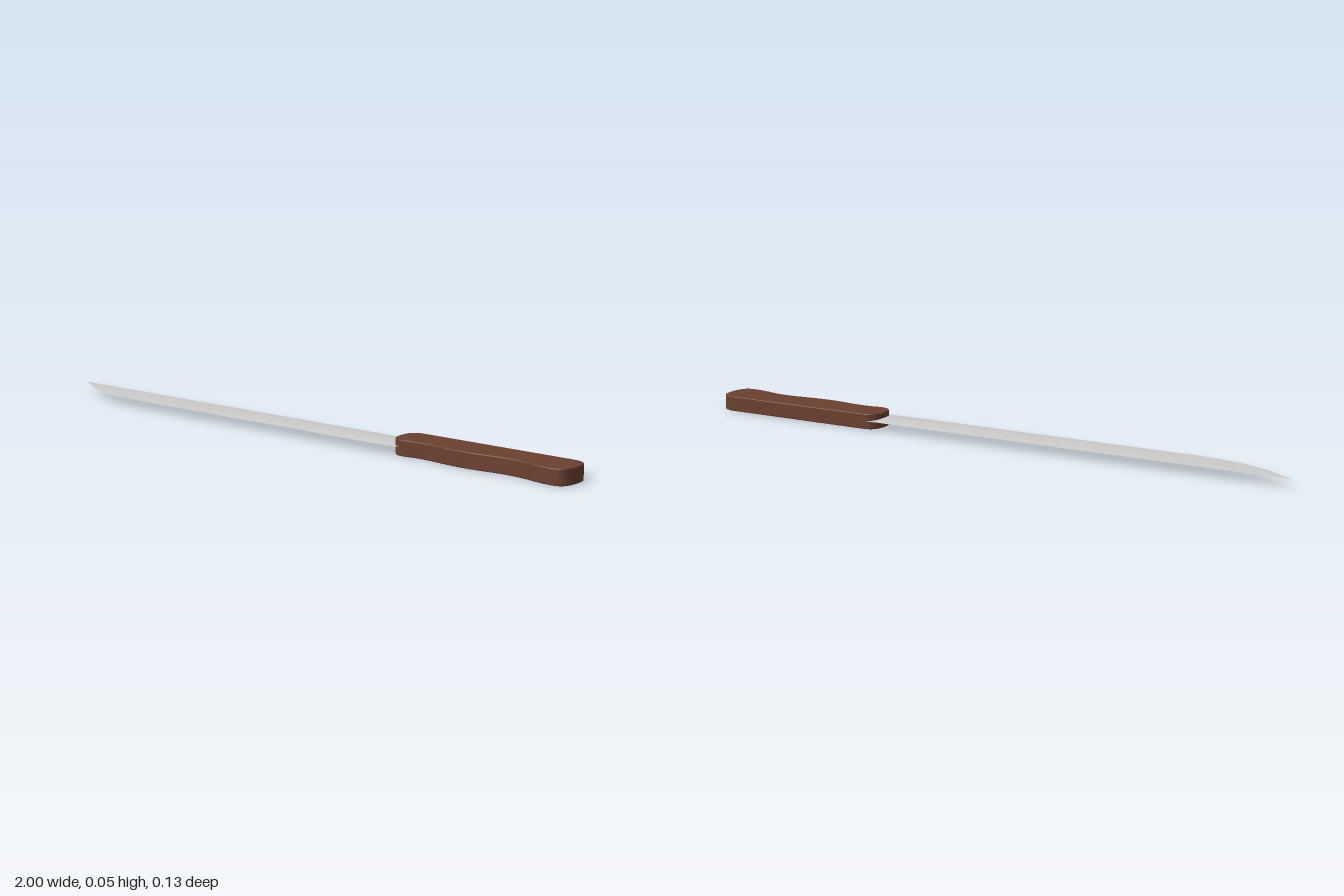
import * as THREE from 'three';

const BLADE_Y = 0.027;
const SPINE_Z = -0.065;

// Cutting edge from tip to heel, as (x, z)
const edge = new THREE.CatmullRomCurve3([
  [-1, -0.062], [-0.95, -0.028], [-0.9, 0.001], [-0.85, 0.022], [-0.78, 0.04],
  [-0.69, 0.051], [-0.6, 0.053], [-0.3, 0.053], [0, 0.053], [0.36, 0.053], [0.42, 0.046], [0.46, 0.03],
].map(([x, z]) => new THREE.Vector3(x, 0, z)), false, 'centripetal');

// One smooth blade face (side = 1 upper, -1 lower): lens sections that thin towards the tip
function bladeFace(side) {
  const along = 60, across = 12, positions = [], indices = [];
  for (let i = 0; i <= along; i++) {
    const p = edge.getPoint(i / along);
    const half = THREE.MathUtils.lerp(0.001, 0.005, (p.x + 1) / 1.46);
    for (let j = 0; j <= across; j++) {
      const t = j / across;
      const bulge = half * 4 * t * (1 - t);
      positions.push(p.x, BLADE_Y + side * bulge, THREE.MathUtils.lerp(SPINE_Z, p.z, t));
      if (i < along && j < across) {
        const a = i * (across + 1) + j, b = a + across + 1;
        if (side > 0) indices.push(a, a + 1, b, a + 1, b + 1, b);
        else indices.push(a, b, a + 1, a + 1, b, b + 1);
      }
    }
  }
  const geometry = new THREE.BufferGeometry();
  geometry.setAttribute('position', new THREE.Float32BufferAttribute(positions, 3));
  geometry.setIndex(indices);
  geometry.computeVertexNormals();
  return geometry;
}

// Handle outline drawn with shape y = -z: straight back, wavy finger grip below
function handleGeometry() {
  const bevel = 0.003;
  const s = new THREE.Shape();
  s.moveTo(0.44, 0.062);
  s.lineTo(0.945, 0.062);
  s.bezierCurveTo(0.985, 0.062, 0.997, 0.045, 0.997, 0.01);
  s.bezierCurveTo(0.997, -0.035, 0.99, -0.06, 0.95, -0.06);
  s.bezierCurveTo(0.89, -0.06, 0.87, -0.039, 0.8, -0.039);
  s.bezierCurveTo(0.74, -0.039, 0.71, -0.05, 0.65, -0.05);
  s.bezierCurveTo(0.58, -0.05, 0.55, -0.038, 0.49, -0.038);
  s.bezierCurveTo(0.46, -0.038, 0.45, -0.044, 0.43, -0.044);
  s.bezierCurveTo(0.4, -0.044, 0.39, -0.02, 0.39, 0.01);
  s.bezierCurveTo(0.39, 0.045, 0.405, 0.062, 0.44, 0.062);
  const geometry = new THREE.ExtrudeGeometry(s, {
    depth: 0.05 - 2 * bevel, curveSegments: 14,
    bevelEnabled: true, bevelThickness: bevel, bevelSize: bevel, bevelSegments: 2,
  });
  geometry.rotateX(-Math.PI / 2);
  geometry.translate(0, bevel, 0);
  return geometry;
}

export function createModel() {
  const model = new THREE.Group();
  model.name = 'knife';

  const steel = new THREE.MeshStandardMaterial({ color: 0xcccccc, side: THREE.DoubleSide });
  const wood = new THREE.MeshStandardMaterial({ color: 0x6b4030 });

  const blade = new THREE.Group();
  blade.name = 'blade';
  for (const [name, side] of [['upperBladeFace', 1], ['lowerBladeFace', -1]]) {
    const face = new THREE.Mesh(bladeFace(side), steel);
    face.name = name;
    blade.add(face);
  }
  model.add(blade);

  const handle = new THREE.Mesh(handleGeometry(), wood);
  handle.name = 'handle';
  model.add(handle);

  return model;
}
